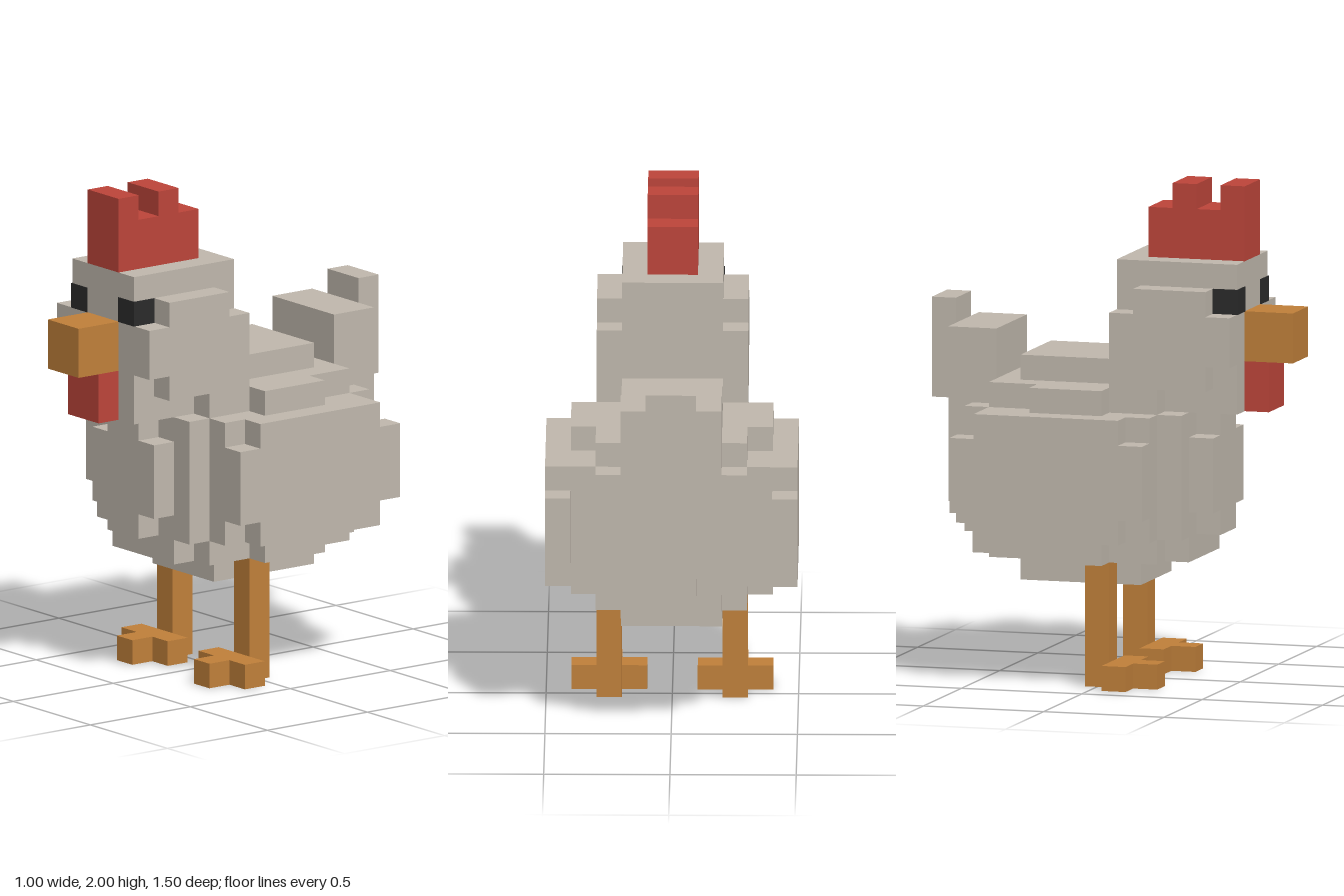
import * as THREE from 'three';

const paint = (name, color) => {
  const m = new THREE.MeshStandardMaterial({ color });
  m.name = name;
  return m;
};

export function createModel() {
  const feather = paint('feather', 0xc0b8ad);
  const red = paint('combRed', 0xbd453a);
  const orange = paint('beakOrange', 0xc0803a);
  const black = paint('eyeBlack', 0x2b2b2b);
  const model = new THREE.Group();
  model.name = 'chicken';

  // A box between two corners
  const box = (parent, name, mat, x0, x1, y0, y1, z0, z1) => {
    const mesh = new THREE.Mesh(new THREE.BoxGeometry(x1 - x0, y1 - y0, z1 - z0), mat);
    mesh.position.set((x0 + x1) / 2, (y0 + y1) / 2, (z0 + z1) / 2);
    mesh.name = name;
    parent.add(mesh);
  };
  // A box centred on x = 0
  const mid = (parent, name, mat, w, ...yz) => box(parent, name, mat, -w, w, ...yz);
  const part = (name) => {
    const g = new THREE.Group();
    g.name = name;
    model.add(g);
    return g;
  };

  // Rounded body of stepped layers: half width, bottom, top, back, front
  const body = part('body');
  [
    [0.4, 0.6, 1.1, -0.45, 0.25],
    [0.3, 0.6, 1.1, -0.55, 0.35],
    [0.2, 0.7, 1.0, -0.65, 0.45],
    [0.1, 0.6, 1.1, -0.65, 0.45],
    [0.4, 0.5, 1.2, -0.25, 0.05],
    [0.3, 0.5, 1.2, -0.45, 0.25],
    [0.2, 0.5, 1.2, -0.55, 0.35],
    [0.2, 0.4, 1.3, -0.35, 0.15],
  ].forEach((b) => mid(body, 'bodyLayer', feather, ...b));

  // Tail
  const tail = part('tail');
  mid(tail, 'tailBase', feather, 0.2, 1.0, 1.4, -0.65, -0.45);
  mid(tail, 'tailTip', feather, 0.1, 1.1, 1.5, -0.75, -0.65);

  // Head and neck, beak, wattle
  const head = part('head');
  mid(head, 'skull', feather, 0.2, 1.1, 1.7, 0.05, 0.55);
  mid(head, 'beak', orange, 0.1, 1.3, 1.5, 0.55, 0.75);
  mid(head, 'wattle', red, 0.1, 1.1, 1.3, 0.55, 0.65);

  // Comb with two points
  const comb = part('comb');
  mid(comb, 'combBase', red, 0.1, 1.7, 1.9, 0.15, 0.55);
  for (const z of [0.25, 0.45]) mid(comb, 'combPoint', red, 0.1, 1.9, 2.0, z, z + 0.1);

  // Paired parts, mirrored across x = 0
  for (const [side, s] of [['left', 1], ['right', -1]]) {
    const pair = (parent, name, mat, a, b, ...yz) =>
      box(parent, name, mat, Math.min(s * a, s * b), Math.max(s * a, s * b), ...yz);

    const cheek = part(side + 'Cheek');
    pair(cheek, 'cheekMiddle', feather, 0.2, 0.3, 1.2, 1.6, 0.15, 0.45);
    pair(cheek, 'cheekBack', feather, 0.2, 0.3, 1.2, 1.5, 0.05, 0.15);
    pair(cheek, 'cheekFront', feather, 0.2, 0.3, 1.3, 1.5, 0.45, 0.55);

    // Eye wraps the corner of the head
    const eye = part(side + 'Eye');
    pair(eye, 'eyeFront', black, 0.1, 0.204, 1.5, 1.6, 0.55, 0.554);
    pair(eye, 'eyeSide', black, 0.2, 0.204, 1.5, 1.6, 0.45, 0.55);

    const wing = part(side + 'Wing');
    pair(wing, 'wingMiddle', feather, 0.4, 0.5, 0.6, 1.1, -0.45, 0.15);
    pair(wing, 'wingEnds', feather, 0.4, 0.5, 0.7, 1.0, -0.55, 0.25);

    const leg = part(side + 'Leg');
    pair(leg, 'shin', orange, 0.2, 0.3, 0, 0.5, -0.05, 0.05);
    pair(leg, 'toes', orange, 0.1, 0.4, 0, 0.1, 0.05, 0.15);
    pair(leg, 'middleToe', orange, 0.2, 0.3, 0, 0.1, 0.15, 0.25);
  }
  return model;
}
